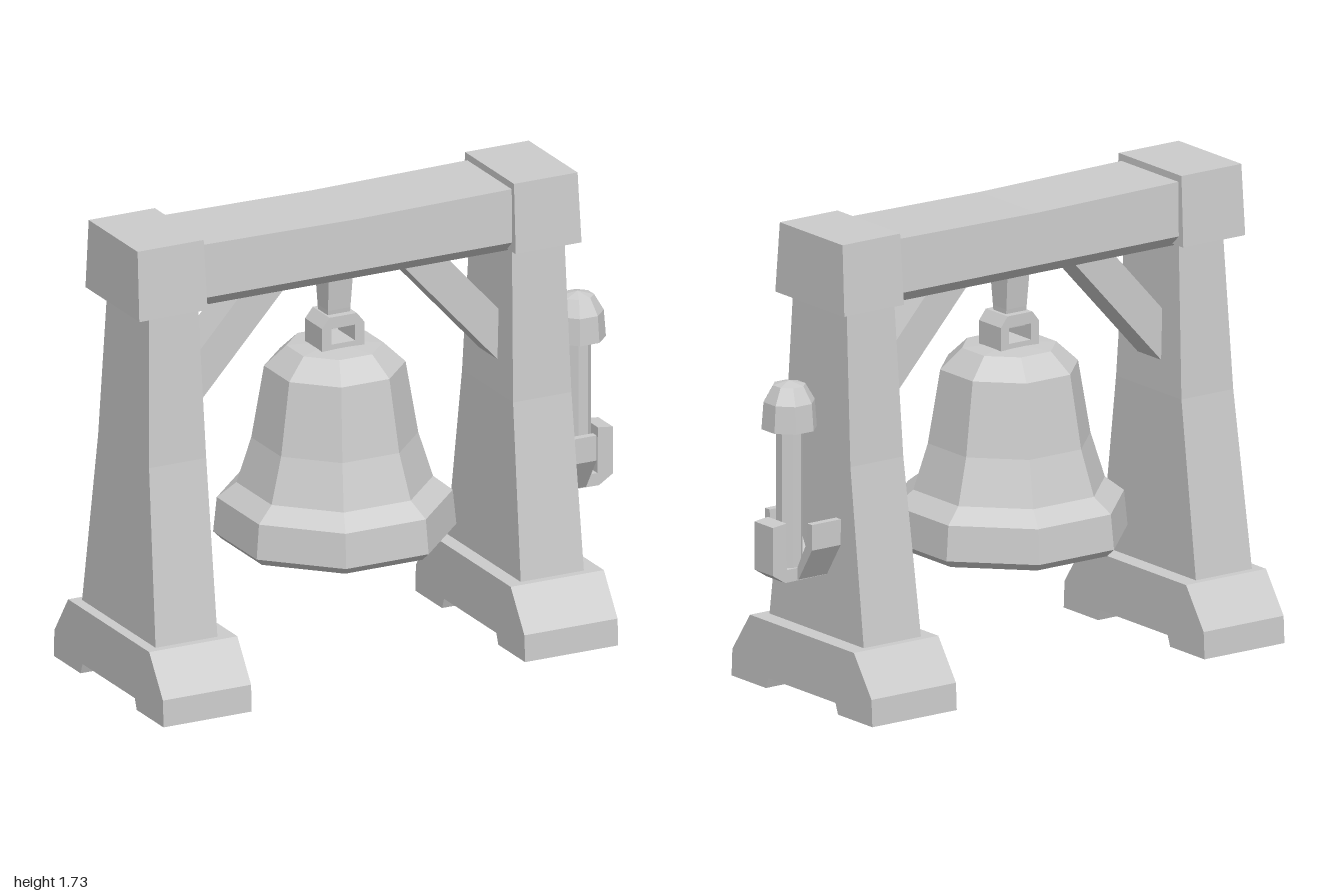
import * as THREE from 'three';

const material = new THREE.MeshStandardMaterial({ color: 0xcccccc, flatShading: true, side: THREE.DoubleSide });

function add(parent, name, geometry, x = 0, y = 0, z = 0) {
  const mesh = new THREE.Mesh(geometry, material);
  mesh.name = name;
  mesh.position.set(x, y, z);
  parent.add(mesh);
  return mesh;
}

// Stack of rectangles [y, x0, x1, zHalf], capped at both ends
function loftRects(rows) {
  const pos = [], idx = [];
  for (const [y, x0, x1, z] of rows) pos.push(x0, y, z, x1, y, z, x1, y, -z, x0, y, -z);
  for (let r = 0; r < rows.length - 1; r++) {
    for (let i = 0; i < 4; i++) {
      const a = r * 4 + i, b = r * 4 + (i + 1) % 4;
      idx.push(a, b, b + 4, a, b + 4, a + 4);
    }
  }
  const t = (rows.length - 1) * 4;
  idx.push(0, 2, 1, 0, 3, 2, t, t + 1, t + 2, t, t + 2, t + 3);
  const g = new THREE.BufferGeometry();
  g.setAttribute('position', new THREE.Float32BufferAttribute(pos, 3));
  g.setIndex(idx);
  g.computeVertexNormals();
  return g;
}

const toShape = (pts) => new THREE.Shape(pts.map(([a, b]) => new THREE.Vector2(a, b)));

// Outline in x/y, given depth centred on z = 0
function extrudeZ(shape, depth) {
  return new THREE.ExtrudeGeometry(shape, { depth, bevelEnabled: false }).translate(0, 0, -depth / 2);
}

// Outline in z/y, running from x0 to x1
function extrudeX(pts, x0, x1, steps = 1) {
  const g = new THREE.ExtrudeGeometry(toShape(pts.map(([z, y]) => [-z, y])), { depth: x1 - x0, steps, bevelEnabled: false });
  return g.rotateY(Math.PI / 2).translate(x0, 0, 0);
}

// Eight-sided turned part; radii are measured to the flat sides
function octagon(profile) {
  const k = 1 / Math.cos(Math.PI / 8);
  return new THREE.LatheGeometry(profile.map(([r, y]) => new THREE.Vector2(r * k, y)), 8, Math.PI / 8);
}

const mirrored = (half) => [...half, ...half.map(([z, y]) => [-z, y]).reverse()];

export function createModel() {
  const model = new THREE.Group();
  model.name = 'bellStand';
  const midX = -0.09;

  // Feet, posts and caps on both sides
  const footOutline = mirrored([[0.2, 0.04], [0.215, 0], [0.42, 0], [0.415, 0.1], [0.31, 0.25]]);
  const sides = [
    { name: 'right', foot: [-1, -0.645], cap: [-0.985, -0.71],
      post: [[0.22, -0.96, -0.71, 0.285], [0.9, -0.94, -0.71, 0.195], [1.5, -0.92, -0.725, 0.158]] },
    { name: 'left', foot: [0.455, 0.83], cap: [0.53, 0.795],
      post: [[0.22, 0.51, 0.765, 0.285], [0.9, 0.525, 0.76, 0.195], [1.5, 0.54, 0.75, 0.158]] },
  ];
  for (const s of sides) {
    add(model, s.name + 'Foot', extrudeX(footOutline, ...s.foot));
    add(model, s.name + 'Post', loftRects(s.post));
    const [a, b] = s.cap;
    add(model, s.name + 'Cap', loftRects([[1.465, a, b, 0.206], [1.725, a + 0.003, b - 0.006, 0.187]]));
  }

  // Crossbeam with chamfered underside and a slight sag
  const beam = extrudeX(mirrored([[0.13, 1.455], [0.178, 1.5], [0.17, 1.7]]), -0.74, 0.56, 2);
  const p = beam.attributes.position;
  for (let i = 0; i < p.count; i++) {
    if (Math.abs(p.getX(i) - midX) < 0.1 && p.getY(i) > 1.6) p.setY(i, 1.692);
  }
  add(model, 'crossbeam', beam);

  // Diagonal braces
  for (const d of [-1, 1]) {
    const brace = [[0.63, 1.01], [0.63, 1.205], [0.39, 1.47], [0.21, 1.47]].map(([x, y]) => [midX + d * x, y]);
    add(model, d < 0 ? 'rightBrace' : 'leftBrace', extrudeZ(toShape(brace), 0.14));
  }

  // Hanger and the eye it holds
  add(model, 'hanger', loftRects([[1.235, -0.14, -0.05, 0.03], [1.31, -0.14, -0.05, 0.04], [1.47, -0.145, -0.045, 0.055]]), 0.002);
  const eye = toShape([[-0.085, 1.15], [0.085, 1.15], [0.085, 1.255], [0.055, 1.293], [-0.055, 1.293], [-0.085, 1.255]]);
  eye.holes.push(new THREE.Path([[-0.048, 1.19], [-0.048, 1.25], [0.048, 1.25], [0.048, 1.19]].map((q) => new THREE.Vector2(...q))));
  add(model, 'bellEye', extrudeZ(eye, 0.13), midX);

  // Hollow bell: inside from the crown down, lip, then outside up
  add(model, 'bell', octagon([
    [0, 1.1], [0.17, 1.06], [0.22, 0.82], [0.28, 0.65], [0.325, 0.56], [0.335, 0.44],
    [0.375, 0.44], [0.402, 0.468], [0.39, 0.597], [0.325, 0.652], [0.276, 0.82],
    [0.234, 1.09], [0.16, 1.165], [0, 1.175],
  ]), midX);

  // Clapper
  add(model, 'clapperRod', new THREE.CylinderGeometry(0.03, 0.03, 0.65, 8), midX, 0.79);
  add(model, 'clapperBall', octagon([[0, 0.345], [0.05, 0.355], [0.088, 0.4], [0.088, 0.46], [0.05, 0.505], [0, 0.515]]), midX);

  // Mallet resting at the outside of the left post
  const mallet = new THREE.Group();
  mallet.name = 'mallet';
  mallet.position.x = 0.887;
  add(mallet, 'malletHandle', octagon([[0, 0.51], [0.045, 0.51], [0.045, 1.05], [0, 1.05]]));
  add(mallet, 'malletHead', octagon([[0, 1.025], [0.094, 1.025], [0.087, 1.125], [0.055, 1.185], [0, 1.2]]));
  model.add(mallet);

  // Mallet holder: a trough on the post with a hook in front
  add(model, 'holderTrough', extrudeX([
    [-0.14, 0.695], [-0.14, 0.6], [-0.06, 0.475], [0.06, 0.475], [0.14, 0.6], [0.14, 0.695],
    [0.112, 0.695], [0.108, 0.62], [0.052, 0.515], [-0.052, 0.515], [-0.108, 0.62], [-0.112, 0.695],
  ], 0.73, 0.89));
  add(model, 'holderHook', extrudeZ(toShape([
    [0.74, 0.473], [0.945, 0.47], [1, 0.505], [1, 0.683], [0.94, 0.69], [0.938, 0.517], [0.74, 0.517],
  ]), 0.11));

  return model;
}
